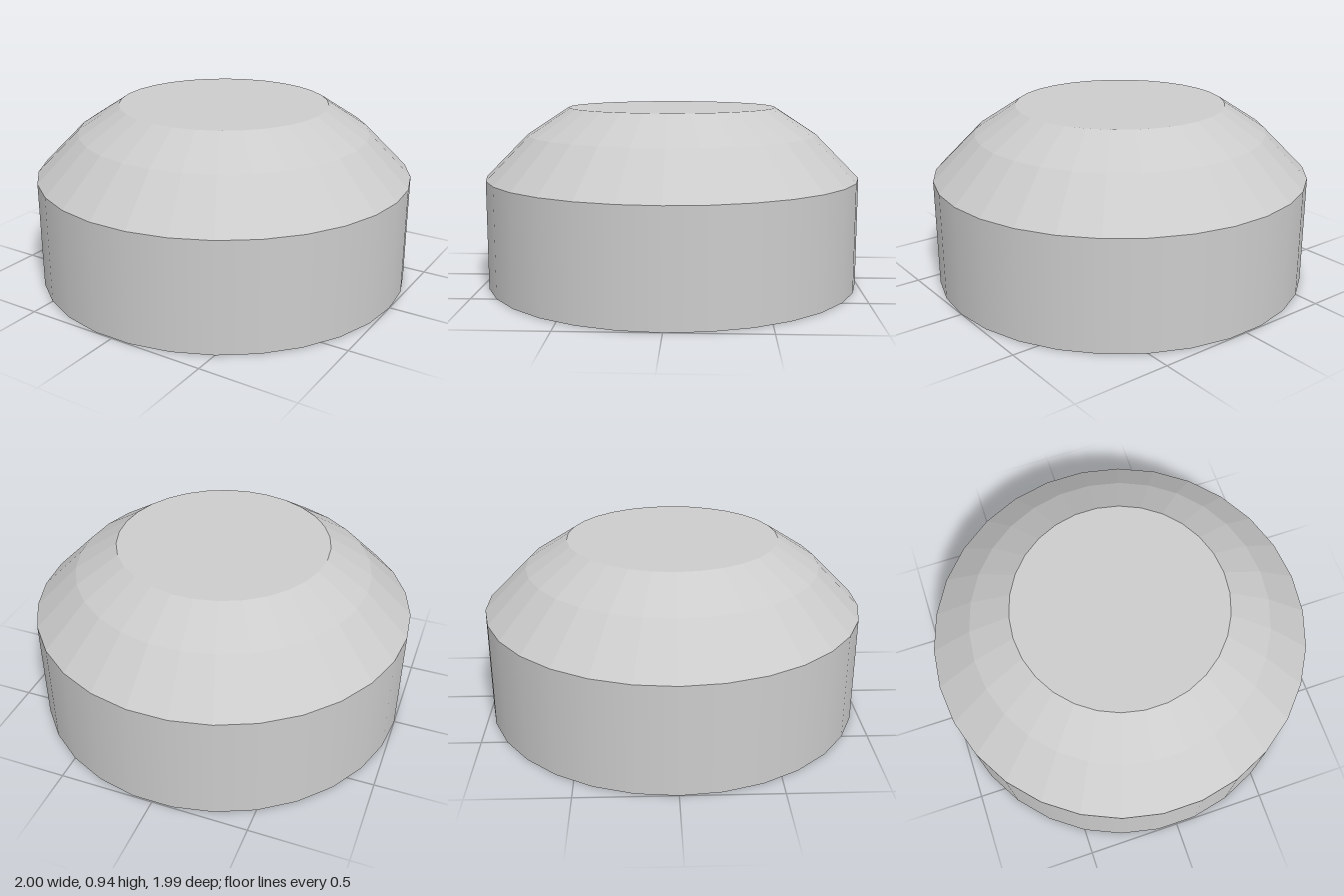
import * as THREE from 'three';

const SIDES = 30;

// One ring-shaped section of the body, with a corner on the x axis
function section(name, rBottom, rTop, y0, y1, flat) {
  const geo = new THREE.CylinderGeometry(rTop, rBottom, y1 - y0, SIDES, 1, true);
  geo.rotateY(Math.PI / 2);
  geo.translate(0, (y0 + y1) / 2, 0);
  const mesh = new THREE.Mesh(geo, new THREE.MeshStandardMaterial({ color: 0xcccccc, flatShading: flat }));
  mesh.name = name;
  return mesh;
}

// Flat disc closing the body, facing up (+1) or down (-1)
function cap(name, radius, y, facing) {
  const geo = new THREE.CircleGeometry(radius, SIDES);
  geo.rotateX(-facing * Math.PI / 2);
  geo.translate(0, y, 0);
  const mesh = new THREE.Mesh(geo, new THREE.MeshStandardMaterial({ color: 0xcccccc }));
  mesh.name = name;
  return mesh;
}

export function createModel() {
  const group = new THREE.Group();
  group.name = 'bevelledDrum';
  group.add(
    cap('bottomFace', 1, 0, -1),
    section('drumWall', 1, 1, 0, 0.573, false),
    // Two-step faceted bevel
    section('lowerBevel', 1, 0.775, 0.573, 0.8, true),
    section('upperBevel', 0.775, 0.555, 0.8, 0.943, true),
    cap('topFace', 0.555, 0.943, 1),
  );
  return group;
}
